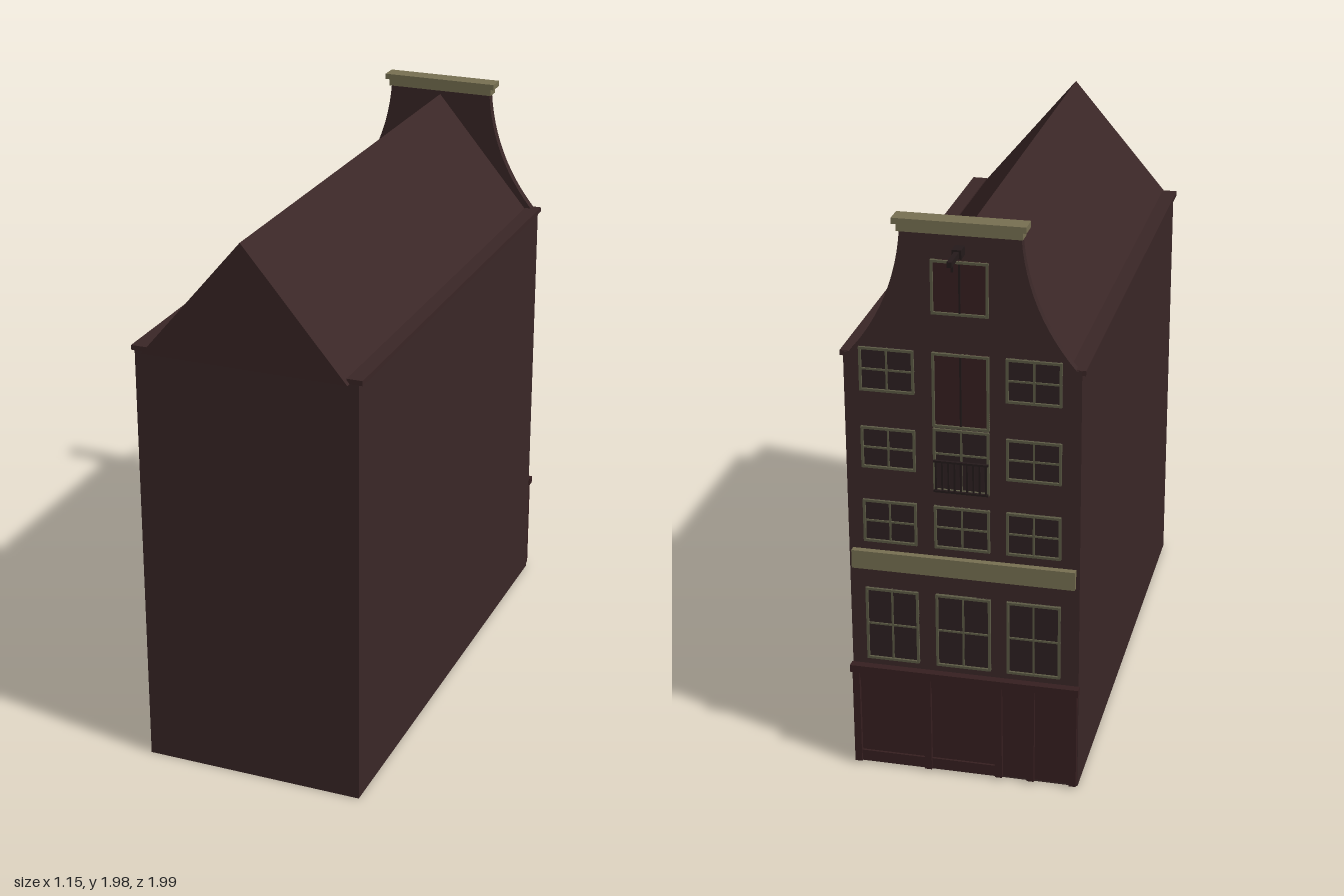
import * as THREE from 'three';

const mat = (name, color, extra = {}) => {
  const m = new THREE.MeshStandardMaterial({ color, ...extra });
  m.name = name;
  return m;
};

export function createModel() {
  const brick = mat('dark brick', 0x3a2727);
  const roofMat = mat('roof tile', 0x3a2626);
  const stone = mat('khaki trim', 0x777052);
  const frameMat = mat('window frame', 0x5c5a45);
  const glass = mat('dark glass', 0x2e2122);
  const wood = mat('dark red wood', 0x361f20);
  const iron = mat('iron', 0x241a1b);

  const W = 0.386, D = 0.9025, H = 1.5; // half width, half depth, wall height
  const root = new THREE.Group();
  root.name = 'canalHouse';
  const house = new THREE.Group();
  house.name = 'house';
  house.rotation.y = Math.PI + 0.2094; // the street facade looks towards the back
  house.position.set(-0.005, 0, 0.0175);
  root.add(house);

  const add = (name, geo, material, parent = house) => {
    const m = new THREE.Mesh(geo, material);
    m.name = name;
    parent.add(m);
    return m;
  };
  // box given by its extents
  const box = (name, x0, x1, y0, y1, z0, z1, material, parent) => {
    const m = add(name, new THREE.BoxGeometry(x1 - x0, y1 - y0, z1 - z0), material, parent);
    m.position.set((x0 + x1) / 2, (y0 + y1) / 2, (z0 + z1) / 2);
    return m;
  };

  // Main block, pitched roof and gutters
  box('walls', -W, W, 0, H, -D, D, brick);
  const tri = new THREE.Shape();
  tri.moveTo(-0.355, H);
  tri.lineTo(0.355, H);
  tri.lineTo(0, 1.92);
  tri.closePath();
  const roof = new THREE.ExtrudeGeometry(tri, { depth: 2 * D - 0.005, bevelEnabled: false });
  add('roof', roof, roofMat).position.z = -D - 0.018;
  for (const s of [-1, 1]) {
    const m = box('gutter', 0.345, 0.398, H, 1.517, -D, D - 0.002, roofMat);
    m.position.x *= s;
  }

  // Neck gable with concave sides
  const neck = new THREE.Shape();
  neck.moveTo(-W, H - 0.01);
  neck.lineTo(W, H - 0.01);
  neck.lineTo(W, 1.515);
  neck.lineTo(0.368, 1.515);
  neck.quadraticCurveTo(0.21, 1.7, 0.193, 1.94);
  neck.lineTo(-0.193, 1.94);
  neck.quadraticCurveTo(-0.21, 1.7, -0.368, 1.515);
  neck.lineTo(-W, 1.515);
  neck.closePath();
  const gable = new THREE.ExtrudeGeometry(neck, { depth: 0.03, bevelEnabled: false, curveSegments: 12 });
  add('neckGable', gable, brick).position.z = D - 0.03;
  box('lowerCap', -0.2, 0.2, 1.935, 1.96, D - 0.038, D + 0.012, stone);
  box('upperCap', -0.213, 0.213, 1.96, 1.98, D - 0.045, D + 0.02, stone);

  // Hoisting beam and hook
  box('beamBase', -0.015, 0.015, 1.87, 1.9, D, D + 0.045, iron);
  box('hoistBeam', -0.008, 0.008, 1.876, 1.894, D, 1.04, iron);
  box('hook', -0.004, 0.004, 1.85, 1.878, 1.0, 1.008, iron);

  // Opening: thin pane, four frame bars, optional mullion and transom
  const opening = (name, cx, w, y0, y1, pane, transom) => {
    const g = new THREE.Group();
    g.name = name;
    house.add(g);
    const t = 0.008, x0 = cx - w / 2, x1 = cx + w / 2, z1 = D + 0.012;
    box('pane', x0, x1, y0, y1, D, D + 0.004, pane, g);
    for (const x of [x0, x1 - t]) box('sideFrame', x, x + t, y0, y1, D, z1, frameMat, g);
    for (const y of [y0, y1 - t]) box('crossFrame', x0, x1, y, y + t, D, z1, frameMat, g);
    box('mullion', cx - 0.003, cx + 0.003, y0, y1, D, D + 0.009, pane === wood ? iron : frameMat, g);
    if (transom) {
      const y = y0 + (y1 - y0) * transom;
      box('transom', x0, x1, y - 0.003, y + 0.003, D, D + 0.009, frameMat, g);
    }
  };
  const rows = [[0.413, 0.68], [0.853, 1.005], [1.12, 1.265], [1.39, 1.54]];
  rows.forEach(([y0, y1], i) => {
    for (const x of [-0.243, 0.235]) opening('window', x, 0.18, y0, y1, glass, 0.5);
    if (i < 2) opening('middleWindow', -0.002, 0.185, y0, y1, glass, 0.5);
  });
  opening('hatch', -0.002, 0.185, 1.285, 1.54, wood, 0);
  opening('balconyDoor', -0.002, 0.185, 1.06, 1.28, glass, 0.6);
  opening('gableHatch', -0.002, 0.185, 1.67, 1.85, wood, 0);

  // Balcony railing
  for (let i = 0; i < 9; i++) {
    const x = -0.084 + i * 0.0205;
    box('baluster', x - 0.003, x + 0.003, 1.06, 1.17, D + 0.012, D + 0.018, iron);
  }
  for (const y of [1.06, 1.165]) box('rail', -0.092, 0.088, y, y + 0.007, D + 0.011, D + 0.02, iron);

  // Blank fascia board
  box('fasciaBoard', -0.374, 0.374, 0.755, 0.82, D, D + 0.022, stone);

  // Shopfront: posts, panels, plinth and cornice
  box('shopPanel', -0.375, 0.375, 0.01, 0.36, D, D + 0.006, wood);
  for (const x of [-0.372, -0.126, 0.118, 0.228, 0.372])
    box('shopPost', x - 0.012, x + 0.012, 0.01, 0.36, D, D + 0.022, wood);
  box('shopBeam', -0.38, 0.38, 0.325, 0.36, D, D + 0.014, wood);
  box('shopPlinth', -0.375, 0.118, 0.01, 0.05, D, D + 0.014, wood);
  box('shopCornice', -0.39, 0.39, 0.36, 0.387, D, D + 0.028, wood);

  return root;
}
